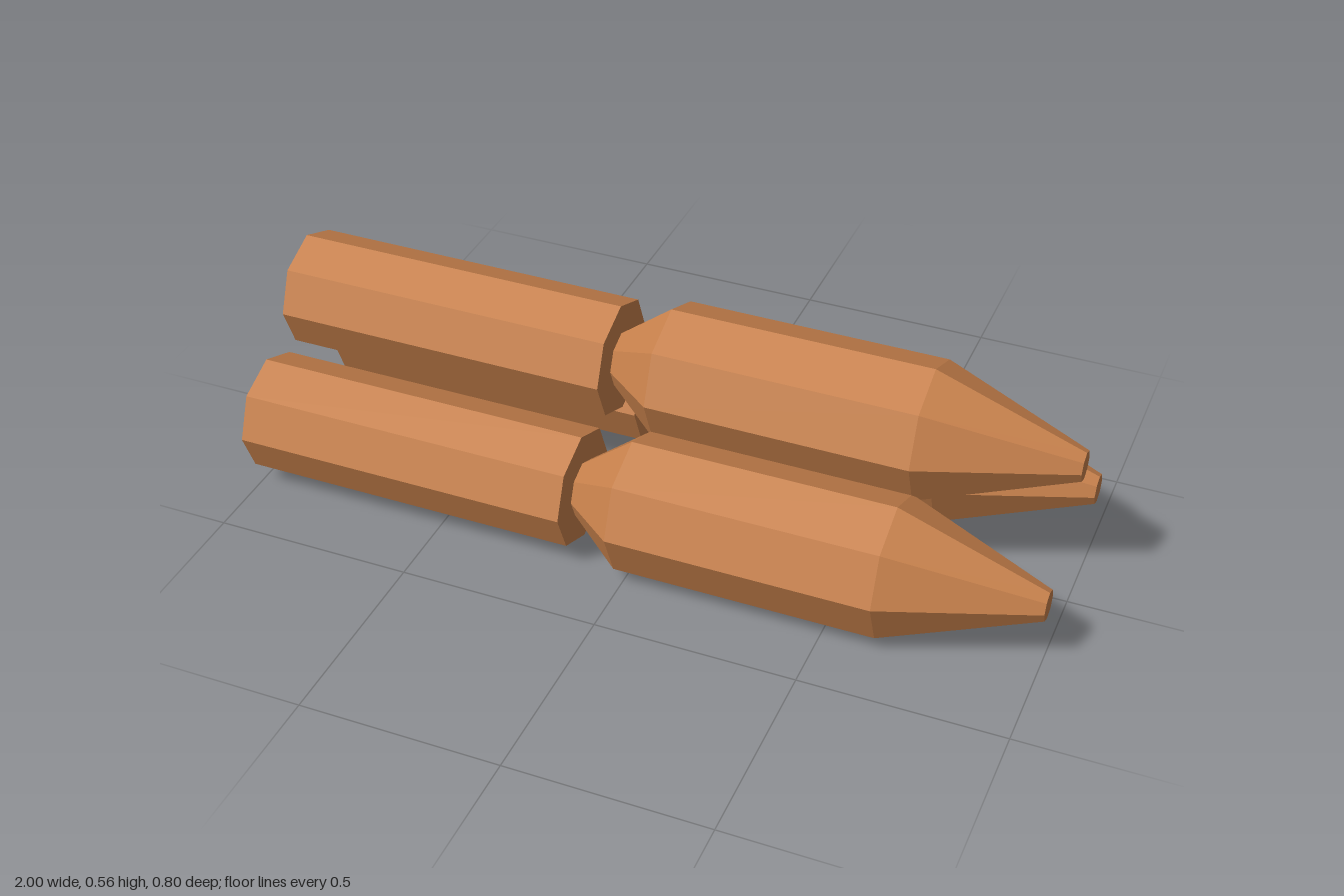
import * as THREE from 'three';

const SIDES = 8;

export function createModel() {
  const copper = new THREE.MeshStandardMaterial({ color: 0xc6804b, flatShading: true });
  copper.name = 'copper';

  // Profiles are [radius, position along the length], turned about the long axis
  const turned = (profile) => {
    const geometry = new THREE.LatheGeometry(profile.map(([r, d]) => new THREE.Vector2(r, d)), SIDES);
    return geometry.rotateZ(-Math.PI / 2);
  };
  const casingGeometry = turned([[0, -1], [0.147, -1], [0.147, -0.145], [0, -0.145]]);
  const headGeometry = turned([[0, -0.145], [0.07, -0.145], [0.171, -0.015], [0.171, 0.635], [0.037, 1], [0, 1]]);

  const model = new THREE.Group();
  model.name = 'cartridgeStack';

  // Two rounds side by side, one resting on top
  const rounds = [
    ['frontRound', 0.172, 0.231],
    ['backRound', 0.172, -0.23],
    ['topRound', 0.395, -0.011],
  ];
  for (const [name, y, z] of rounds) {
    const round = new THREE.Group();
    round.name = name;
    const casing = new THREE.Mesh(casingGeometry, copper);
    casing.name = 'casing';
    const head = new THREE.Mesh(headGeometry, copper);
    head.name = 'taperedHead';
    round.add(casing, head);
    round.position.set(0, y, z);
    model.add(round);
  }
  return model;
}
